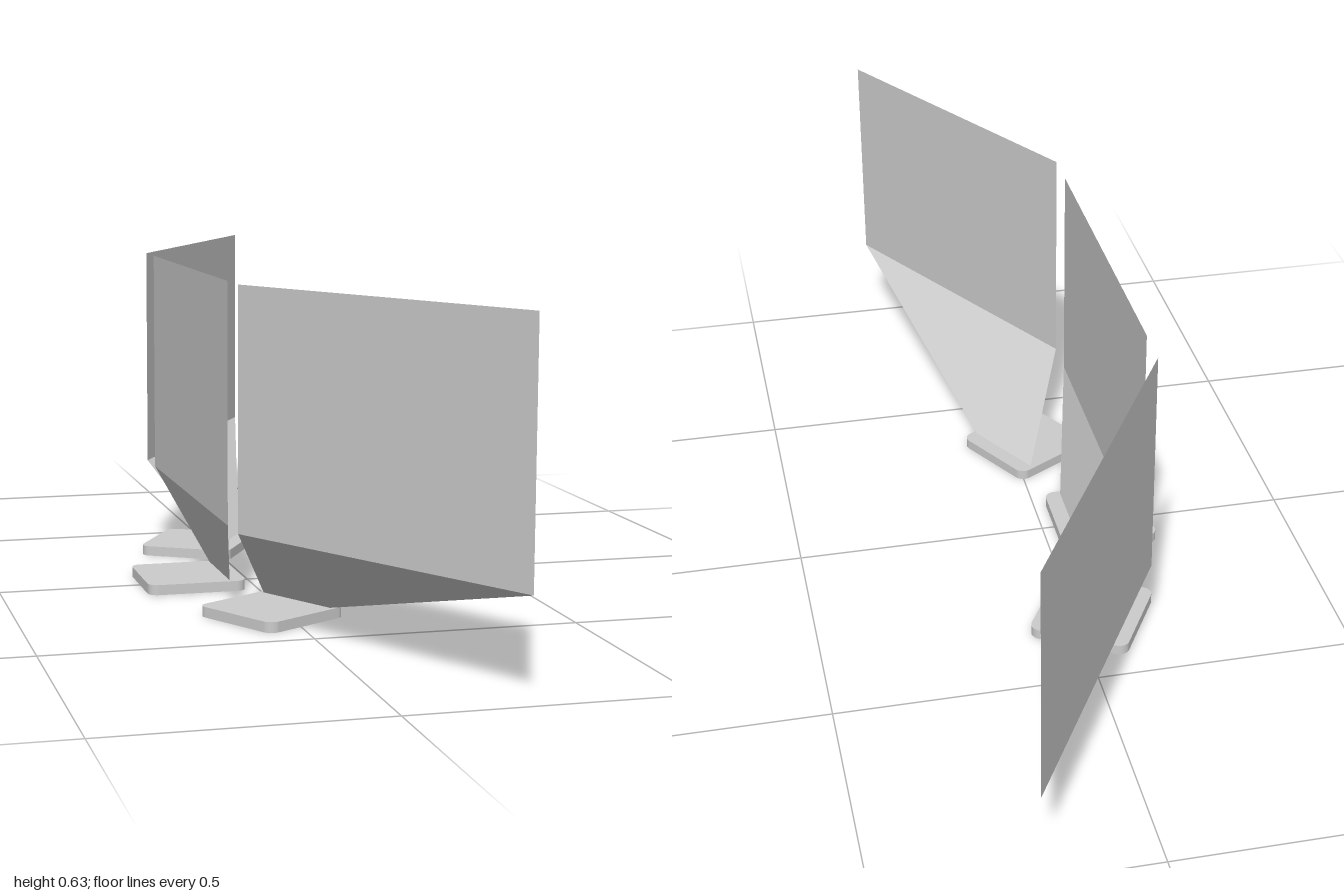
import * as THREE from 'three';

const HALF = 0.0975, RADIUS = 0.02, BASE_H = 0.02;
const SCREEN_Y = 0.18, TOP_Y = 0.63;

const solid = new THREE.MeshStandardMaterial({ color: 0xcccccc });
const sheet = new THREE.MeshStandardMaterial({ color: 0xcccccc, side: THREE.DoubleSide });

function add(parent, name, geometry, material) {
  const mesh = new THREE.Mesh(geometry, material);
  mesh.name = name;
  parent.add(mesh);
  return mesh;
}

// Flat four-cornered sheet
function quad(corners) {
  const g = new THREE.BufferGeometry();
  g.setAttribute('position', new THREE.Float32BufferAttribute(corners.flat(), 3));
  g.setIndex([0, 1, 2, 0, 2, 3]);
  g.computeVertexNormals();
  return g;
}

// Square foot plate with rounded corners
function plate() {
  const s = new THREE.Shape();
  const c = HALF - RADIUS;
  s.absarc(c, c, RADIUS, 0, Math.PI / 2);
  s.absarc(-c, c, RADIUS, Math.PI / 2, Math.PI);
  s.absarc(-c, -c, RADIUS, Math.PI, Math.PI * 1.5);
  s.absarc(c, -c, RADIUS, Math.PI * 1.5, Math.PI * 2);
  const g = new THREE.ExtrudeGeometry(s, { depth: BASE_H, bevelEnabled: false, curveSegments: 6 });
  return g.rotateX(-Math.PI / 2);
}

// Foot plate, tapered support and upright panel; the inner side faces local +x
function station(name, x, z, angle, panelX, z0, z1) {
  const g = new THREE.Group();
  g.name = name;
  g.position.set(x, 0, z);
  g.rotation.y = angle;
  const footX = 0.065, footZ = 0.088;
  add(g, 'footPlate', plate(), solid);
  add(g, 'taperedSupport', quad([
    [footX, BASE_H, footZ], [footX, BASE_H, -footZ],
    [panelX, SCREEN_Y, z0], [panelX, SCREEN_Y, z1],
  ]), sheet);
  add(g, 'uprightPanel', quad([
    [panelX, SCREEN_Y, z1], [panelX, SCREEN_Y, z0],
    [panelX, TOP_Y, z0], [panelX, TOP_Y, z1],
  ]), sheet);
  return g;
}

export function createModel() {
  const model = new THREE.Group();
  model.name = 'threePanelDisplay';
  const turn = Math.PI / 6;
  model.add(
    station('centrePanel', -0.1225, 0, 0, 0.0025, -0.335, 0.335),
    // side panels are angled inward and offset away from the centre
    station('frontPanel', -0.031, 0.315, turn, -0.127, 0.042, 0.716),
    station('backPanel', -0.031, -0.315, -turn, -0.127, -0.716, -0.042),
  );
  return model;
}
